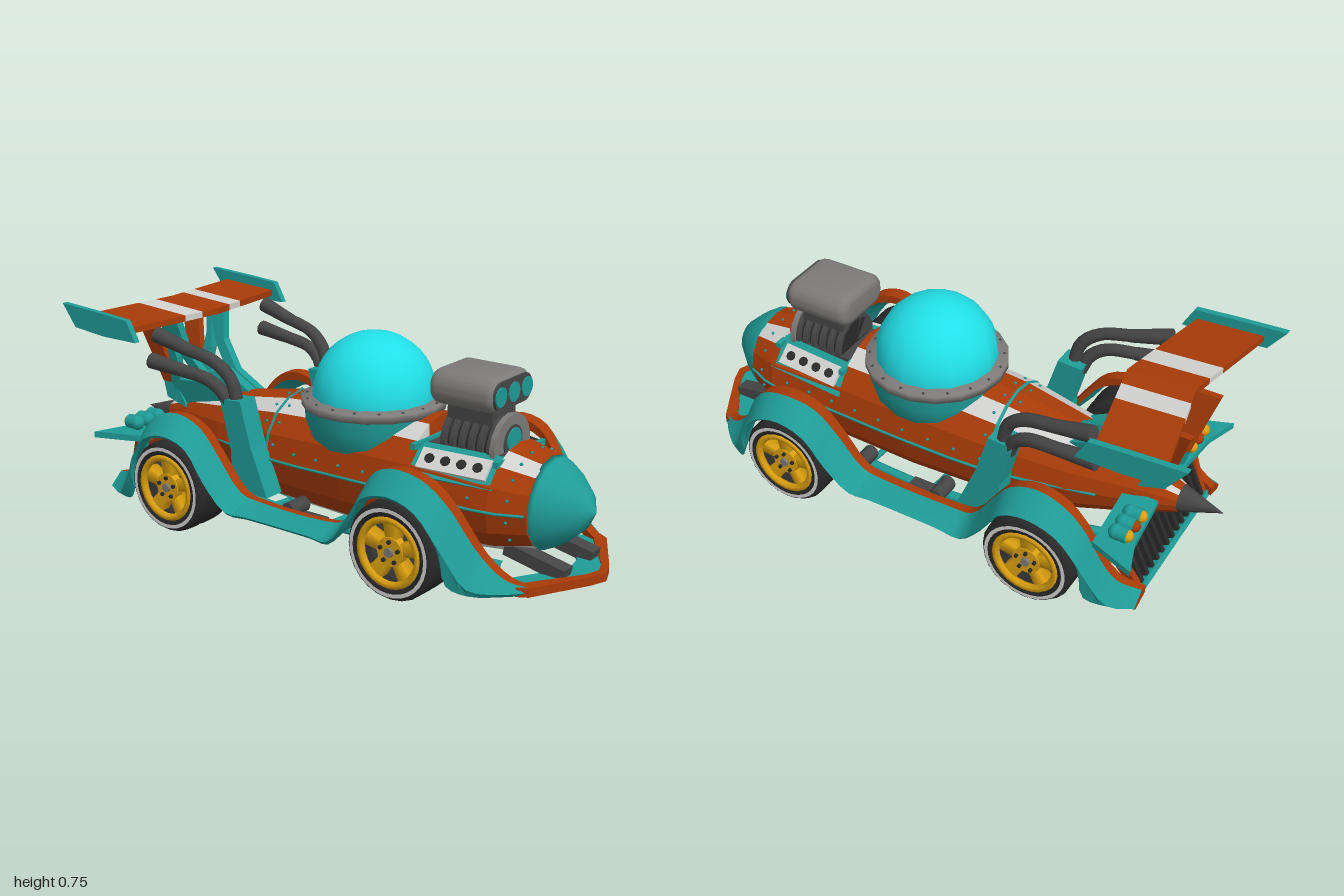
import * as THREE from 'three';
import { toCreasedNormals } from 'three/addons/utils/BufferGeometryUtils.js';

const COLORS = { teal: 0x1f9c97, cyan: 0x22e2ea, rust: 0xa83b08, white: 0xd2d2d0, grey: 0x7c7b79, dark: 0x464647, black: 0x2a2a2a, gold: 0xdba010 };
const M = {};
for (const k in COLORS) { M[k] = new THREE.MeshStandardMaterial({ color: COLORS[k] }); M[k].name = k; }
const V = (x, y, z) => new THREE.Vector3(x, y, z);
const P = (a) => a.map(([x, y]) => new THREE.Vector2(x, y));

export function createModel() {
  const root = new THREE.Group();
  root.name = 'rocketHotRod';
  const add = (name, geo, mat, pos = [0, 0, 0], rot = [0, 0, 0], parent = root) => {
    const m = new THREE.Mesh(geo, mat);
    m.name = name;
    m.position.set(...pos);
    m.rotation.set(...rot);
    parent.add(m);
    return m;
  };
  const box = (name, size, mat, pos, rot, parent) => add(name, new THREE.BoxGeometry(...size), mat, pos, rot, parent);
  const tube = (name, pts, r, mat) =>
    add(name, new THREE.TubeGeometry(new THREE.CatmullRomCurve3(pts.map((p) => V(...p))), 16, r, 8), mat);
  // Outline in (z, y), with an optional hole, thickened along x
  const sidePlate = (name, pts, x, width, mat, hole) => {
    const shape = new THREE.Shape(P(pts));
    if (hole) shape.holes.push(new THREE.Path(P(hole)));
    const g = new THREE.ExtrudeGeometry(shape, { depth: width, bevelEnabled: false });
    return add(name, g.translate(0, 0, -width / 2).rotateY(-Math.PI / 2), mat, [x, 0, 0]);
  };
  // Lean a plate outwards above the tail
  const lean = (mesh, k) => mesh.geometry.applyMatrix4(new THREE.Matrix4().set(1, k, 0, -0.42 * k, 0, 1, 0, 0, 0, 0, 1, 0, 0, 0, 0, 1));
  // Outline in (x, z), thickened downwards from y
  const flatPlate = (name, pts, y, h, mat) => {
    const g = new THREE.ExtrudeGeometry(new THREE.Shape(P(pts)), { depth: h, bevelEnabled: false });
    return add(name, g.rotateX(Math.PI / 2), mat, [0, y, 0]);
  };
  // Closed loops listed towards +z, counter-clockwise from the front; one colour per loop edge
  const loft = (name, loops, mats, crease = 0) => {
    const pos = [], groups = [], used = [...new Set(mats)], n = loops[0].length;
    const tri = (...v) => v.forEach((p) => pos.push(...p));
    used.forEach((mat, gi) => {
      const start = pos.length / 3;
      for (let k = 0; k < loops.length - 1; k++) for (let i = 0; i < n; i++) {
        if (mats[i] !== mat) continue;
        const a = loops[k], b = loops[k + 1], j = (i + 1) % n;
        tri(a[i], a[j], b[j]);
        tri(a[i], b[j], b[i]);
      }
      if (gi === 0) for (let i = 1; i < n - 1; i++) {
        const a = loops[0], b = loops[loops.length - 1];
        tri(a[0], a[i + 1], a[i]);
        tri(b[0], b[i], b[i + 1]);
      }
      groups.push([start, pos.length / 3 - start, gi]);
    });
    const g = new THREE.BufferGeometry();
    g.setAttribute('position', new THREE.Float32BufferAttribute(pos, 3));
    groups.forEach((q) => g.addGroup(...q));
    g.computeVertexNormals();
    return add(name, crease ? toCreasedNormals(g, crease) : g, used);
  };

  // Fuselage: z, half width, centre height, half height
  const table = [[-0.85, 0.05, 0.275, 0.05], [-0.72, 0.1, 0.28, 0.1], [-0.5, 0.16, 0.27, 0.155], [-0.23, 0.207, 0.272, 0.2],
    [0.1, 0.225, 0.28, 0.218], [0.37, 0.217, 0.28, 0.215], [0.68, 0.205, 0.28, 0.18], [0.79, 0.162, 0.28, 0.152]];
  const at = (z) => {
    let i = 0;
    while (i < table.length - 2 && z > table[i + 1][0]) i++;
    const a = table[i], b = table[i + 1], t = (z - a[0]) / (b[0] - a[0]);
    return a.map((v, k) => v + (b[k] - v) * t);
  };
  const degs = [0, 25, 48, 69, 90, 111, 132, 155, 180, 205, 228, 249, 270, 291, 312, 335];
  const stripe = degs.map((d) => ([48, 111, 228, 291].includes(d) ? M.white : M.rust));
  const hullPoint = (z, deg, grow = 0, clip = 9) => {
    const [, rx, cy, ry] = at(z), a = deg * Math.PI / 180;
    return [(rx + grow) * Math.cos(a), Math.min(cy + (ry + grow) * Math.sin(a), clip), z];
  };
  const hullLoop = (z, grow, clip) => degs.map((d) => hullPoint(z, d, grow, clip));
  // Lowered hull section under the engine
  loft('fuselage', [[-0.85], [-0.72], [-0.5], [-0.23], [0.1], [0.37], [0.375, 0.38], [0.665, 0.38], [0.67], [0.79]]
    .map(([z, c]) => hullLoop(z, 0, c)), stripe);
  loft('hullSeam', [hullLoop(-0.235, 0.003), hullLoop(-0.225, 0.003)], degs.map(() => M.teal));
  const rivet = new THREE.SphereGeometry(0.006, 6, 4);
  for (const z of [-0.2, -0.26, 0.73]) for (const d of degs) add('hullRivet', rivet, M.teal, hullPoint(z, d + 10, -0.002));
  for (const d of [10, 170]) for (let z = -0.1; z < 0.7; z += 0.1) add('sideRivet', rivet, M.teal, hullPoint(z, d, -0.002));
  for (const s of [0, 180]) tube('sideSeam', [-0.6, -0.23, 0.1, 0.37, 0.68, 0.785].map((z) => hullPoint(z, s)), 0.005, M.teal);
  const nose = new THREE.LatheGeometry(P([[0, -0.005], [0.156, 0], [0.152, 0.02], [0.12, 0.07], [0.065, 0.13], [0, 0.165]]), 16);
  add('noseCone', nose.rotateX(Math.PI / 2), M.teal, [0, 0.28, 0.785]);
  add('tailCone', new THREE.ConeGeometry(0.056, 0.17, 10).rotateX(-Math.PI / 2), M.dark, [0, 0.275, -0.913]);

  // Cockpit bubble
  const Z0 = 0.09;
  add('canopyDome', new THREE.SphereGeometry(0.213, 16, 10, 0, Math.PI * 2, 0, Math.PI / 2 + 0.1), M.cyan, [0, 0.522, Z0]);
  add('cockpitBowl', new THREE.LatheGeometry(P([[0, 0.3], [0.12, 0.305], [0.195, 0.335], [0.224, 0.385], [0.236, 0.435], [0.24, 0.49]]), 18), M.teal, [0, 0, Z0]);
  add('canopyRing', new THREE.LatheGeometry(P([[0.2, 0.483], [0.25, 0.483], [0.25, 0.51], [0.2, 0.518]]), 18), M.grey, [0, 0, Z0]);
  for (let i = 0; i < 18; i++) {
    const a = i / 18 * Math.PI * 2;
    add('ringRivet', rivet, M.dark, [0.232 * Math.cos(a), 0.511, Z0 + 0.232 * Math.sin(a)]);
  }

  // Engine, blower and scoop
  const disc = (r, h, n = 18) => new THREE.CylinderGeometry(r, r, h, n).rotateX(Math.PI / 2);
  box('engineBlock', [0.2, 0.12, 0.27], M.dark, [0, 0.37, 0.52]);
  add('blowerCore', disc(0.092, 0.2), M.black, [0, 0.435, 0.53]);
  for (let i = 0; i < 6; i++) add('blowerRib', disc(0.106, 0.02), M.dark, [0, 0.435, 0.44 + i * 0.035]);
  add('blowerFace', disc(0.112, 0.02), M.grey, [0, 0.435, 0.63]);
  add('pulleyRim', disc(0.056, 0.024), M.dark, [0, 0.455, 0.632]);
  add('pulley', disc(0.042, 0.03), M.teal, [0, 0.46, 0.634]);
  box('scoopNeck', [0.14, 0.07, 0.17], M.dark, [0, 0.545, 0.52]);
  const rounded = (w, h, r) => {
    const s = new THREE.Shape();
    s.absarc(w - r, h - r, r, 0, Math.PI / 2);
    s.absarc(r - w, h - r, r, Math.PI / 2, Math.PI);
    s.absarc(r - w, r - h, r, Math.PI, Math.PI * 1.5);
    s.absarc(w - r, r - h, r, Math.PI * 1.5, Math.PI * 2);
    return s;
  };
  add('airScoop', toCreasedNormals(new THREE.ExtrudeGeometry(rounded(0.095, 0.03, 0.026), { depth: 0.185, bevelSize: 0.03, bevelThickness: 0.032, bevelSegments: 4, curveSegments: 5 }), 0.7), M.grey, [0, 0.62, 0.42]);
  add('scoopMouth', new THREE.ExtrudeGeometry(rounded(0.113, 0.047, 0.042), { depth: 0.022, bevelEnabled: false, curveSegments: 5 }), M.dark, [0, 0.62, 0.616]);
  for (const x of [-0.08, 0, 0.08]) add('scoopIntake', disc(0.033, 0.01), M.teal, [x, 0.62, 0.637]);
  for (const z of [0.375, 0.668]) box('engineBayRim', [z < 0.5 ? 0.36 : 0.3, 0.02, 0.018], M.teal, [0, z < 0.5 ? 0.43 : 0.42, z]);

  // Fender stations: z, inner x, crest x, outer x, crest height, lower edge
  const arch = (z, c) => 0.165 + Math.sqrt(Math.max(0, 0.18 ** 2 - (z - c) ** 2));
  const stations = [[-0.86, 0.27, 0.3, 0.35, 0.115, 0.06], [-0.78, 0.295, 0.33, 0.385, 0.145, 0.06], [-0.7, 0.315, 0.35, 0.41, 0.27, 0.08],
    [-0.675, 0.32, 0.355, 0.42, 0.32], [-0.6, 0.32, 0.36, 0.432, 0.395], [-0.5, 0.315, 0.355, 0.435, 0.42], [-0.4, 0.31, 0.35, 0.432, 0.385],
    [-0.325, 0.3, 0.34, 0.425, 0.29], [-0.24, 0.285, 0.325, 0.415, 0.175, 0.12], [-0.15, 0.28, 0.315, 0.41, 0.155, 0.12], [0.12, 0.28, 0.315, 0.41, 0.155, 0.12], [0.2, 0.285, 0.32, 0.415, 0.175, 0.12],
    [0.285, 0.3, 0.34, 0.43, 0.3], [0.36, 0.315, 0.36, 0.443, 0.395], [0.46, 0.325, 0.375, 0.445, 0.425], [0.56, 0.32, 0.37, 0.442, 0.4],
    [0.635, 0.3, 0.345, 0.43, 0.32], [0.66, 0.29, 0.335, 0.42, 0.28, 0.1], [0.72, 0.265, 0.305, 0.385, 0.18, 0.07], [0.8, 0.24, 0.28, 0.32, 0.11, 0.066], [0.865, 0.215, 0.245, 0.25, 0.092, 0.065]];
  for (const s of [1, -1]) {
    const corners = stations.map(([z, xi, xm, xo, h, low = arch(z, z > 0 ? 0.46 : -0.5)]) =>
      [[xi, h - 0.004], [xi, Math.max(h - 0.035, 0.062)], [xo - 0.012, low], [xo, Math.max(low + 0.012, h - 0.085)], [xm, h]].map(([x, y]) => V(x * s, y, z)));
    // Smooth curve through each corner of the section
    let rails = corners[0].map((_, i) => new THREE.CatmullRomCurve3(corners.map((c) => c[i])).getPoints(60));
    if (s < 0) rails = [rails[0], ...rails.slice(1).reverse()];
    loft('fender', rails[0].map((_, k) => rails.map((r) => r[k].toArray())), [M.rust, M.teal, M.teal, M.teal, M.rust], 0.45);
  }
  // Front splitter
  flatPlate('splitter', [[-0.24, 0.85], [-0.06, 0.955], [0, 0.975], [0.06, 0.955], [0.24, 0.85], [0.25, 0.78], [0.22, 0.76], [0.05, 0.865], [0, 0.875], [-0.05, 0.865], [-0.22, 0.76], [-0.25, 0.78]], 0.086, 0.02, M.teal);
  flatPlate('splitterEdge', [[-0.275, 0.83], [-0.255, 0.865], [-0.06, 0.975], [0, 0.998], [0.06, 0.975], [0.255, 0.865], [0.275, 0.83], [0.225, 0.83], [0.055, 0.95], [0, 0.97], [-0.055, 0.95], [-0.225, 0.83]], 0.093, 0.03, M.rust);

  // Wheel, outer face towards +x
  const ax = -Math.PI / 2;
  const tyre = new THREE.LatheGeometry(P([[0.108, -0.08], [0.145, -0.085], [0.163, -0.07], [0.165, -0.015], [0.153, -0.005], [0.153, 0.008], [0.165, 0.018], [0.164, 0.066], [0.152, 0.085], [0.112, 0.083], [0.108, 0.03]]), 24).rotateZ(ax);
  const cyl = (r, h, n = 20) => new THREE.CylinderGeometry(r, r, h, n).rotateZ(ax);
  const wheel = (s, z) => {
    const g = new THREE.Group();
    g.name = 'wheel';
    g.position.set(s * 0.347, 0.166, z);
    g.rotation.y = s > 0 ? 0 : Math.PI;
    root.add(g);
    const part = (name, geo, mat, pos, rot) => add(name, geo, mat, pos, rot, g);
    part('tyre', tyre, M.black);
    part('whitewall', new THREE.RingGeometry(0.135, 0.148, 32).rotateY(Math.PI / 2), M.white, [0.087, 0, 0]);
    part('rimBarrel', cyl(0.112, 0.1), M.dark, [-0.02, 0, 0]);
    part('innerRim', cyl(0.1, 0.01), M.gold, [-0.074, 0, 0]);
    part('rimLip', new THREE.TorusGeometry(0.11, 0.014, 6, 24).rotateY(Math.PI / 2), M.gold, [0.077, 0, 0]);
    for (let i = 0; i < 5; i++) {
      const a = i / 5 * Math.PI * 2;
      const spoke = new THREE.CylinderGeometry(0.038, 0.026, 0.085, 4, 1, false, Math.PI / 4).translate(0, 0.065, 0);
      part('spoke', spoke, M.gold, [0.05, 0, 0], [a, 0, 0]);
      part('wheelNut', cyl(0.007, 0.012, 6), M.black, [0.078, 0.035 * Math.cos(a), 0.035 * Math.sin(a)]);
    }
    part('hub', cyl(0.05, 0.03, 12), M.gold, [0.06, 0, 0]);
    part('hubCap', cyl(0.016, 0.02, 8), M.grey, [0.075, 0, 0]);
  };

  for (const s of [1, -1]) {
    for (const z of [0.46, -0.5]) {
      wheel(s, z);
      add('axle', cyl(0.022, 0.2, 10), M.dark, [s * 0.2, 0.18, z]);
    }
    // Valve cover beside the engine
    const v = new THREE.Group();
    v.name = 'valveCover';
    v.position.set(s * 0.148, 0.385, 0.52);
    v.rotation.set(0, s * -0.08, s * -0.75);
    root.add(v);
    box('coverFrame', [0.125, 0.02, 0.31], M.teal, [0, 0, 0], [0, 0, 0], v);
    box('coverPlate', [0.075, 0.03, 0.25], M.white, [0, 0.006, 0], [0, 0, 0], v);
    for (let i = 0; i < 4; i++) add('coverPort', new THREE.CylinderGeometry(0.017, 0.017, 0.008, 10), M.black, [0, 0.022, -0.087 + i * 0.058], [0, 0, 0], v);
    // Exhausts rising from their housing
    sidePlate('exhaustHousing', [[-0.16, 0.16], [-0.32, 0.16], [-0.32, 0.3], [-0.365, 0.48], [-0.275, 0.487], [-0.23, 0.33]], s * 0.243, 0.08, M.teal);
    const pipes = [[[0.25, 0.45, -0.31], [0.257, 0.55, -0.335], [0.268, 0.605, -0.4], [0.28, 0.635, -0.52], [0.293, 0.668, -0.645]],
      [[0.255, 0.44, -0.34], [0.268, 0.5, -0.365], [0.28, 0.54, -0.42], [0.292, 0.558, -0.54], [0.301, 0.572, -0.665]]];
    for (const p of pipes) {
      const q = p.map(([x, y, z]) => V(x * s, y, z));
      tube('exhaustPipe', q, 0.023, M.dark);
      const tip = add('exhaustTip', new THREE.CylinderGeometry(0.029, 0.023, 0.15, 10), M.dark, q[4].clone().lerp(q[3], 0.55).toArray());
      tip.quaternion.setFromUnitVectors(V(0, 1, 0), q[4].clone().sub(q[3]).normalize());
    }
    // Underbody rails and mounts
    tube('floorRail', [[s * 0.17, 0.1, 0.72], [s * 0.21, 0.1, 0.3], [s * 0.22, 0.1, 0], [s * 0.19, 0.1, -0.3], [s * 0.1, 0.12, -0.75]], 0.018, M.teal);
    box('sidePod', [0.05, 0.06, 0.13], M.dark, [s * 0.235, 0.09, -0.01]);
    for (const z of [0.25, -0.07]) add('sideBolt', cyl(0.028, 0.09, 10), M.dark, [s * 0.235, 0.135, z]);
    box('splitterStrut', [0.055, 0.045, 0.22], M.dark, [s * 0.093, 0.115, 0.8], [0.2, 0, 0]);
    box('suspensionArm', [0.04, 0.06, 0.1], M.dark, [s * 0.21, 0.14, 0.52]);
    // Tail fins and lamps
    flatPlate('tailFin', [[s * 0.08, -0.68], [s * 0.36, -0.7], [s * 0.42, -0.86], [s * 0.3, -0.82], [s * 0.08, -0.8]], 0.3, 0.022, M.teal);
    [M.gold, M.rust, M.gold].forEach((mat, i) => {
      const x = s * (0.2 + i * 0.052);
      add('lampHousing', new THREE.SphereGeometry(0.027, 10, 8), M.teal, [x, 0.325, -0.755]);
      add('lampBarrel', disc(0.026, 0.04, 10), M.teal, [x, 0.325, -0.775]);
      add('lampLens', new THREE.SphereGeometry(0.022, 10, 6), mat, [x, 0.325, -0.793]);
    });
    // Wing pillars, rust fins and end plates
    lean(sidePlate('wingPillar', [[-0.47, 0.41], [-0.6, 0.47], [-0.68, 0.57], [-0.7, 0.7], [-0.79, 0.705], [-0.77, 0.58], [-0.79, 0.42], [-0.74, 0.33], [-0.6, 0.36]], s * 0.07, 0.03, M.teal,
      [[-0.64, 0.45], [-0.745, 0.44], [-0.735, 0.53], [-0.75, 0.63], [-0.715, 0.55]]), s * 0.22);
    lean(sidePlate('tailPanel', [[-0.77, 0.42], [-0.835, 0.42], [-0.9, 0.635], [-0.82, 0.635]], s * 0.07, 0.024, M.rust), s * 0.22);
    sidePlate('tailPanelStay', [[-0.72, 0.33], [-0.82, 0.36], [-0.835, 0.42], [-0.77, 0.42]], s * 0.07, 0.02, M.teal);
    sidePlate('wingEndPlate', [[-0.64, 0.662], [-0.68, 0.735], [-0.82, 0.745], [-1, 0.755], [-0.94, 0.675], [-0.8, 0.662]], s * 0.397, 0.022, M.teal);
  }
  for (const z of [0.27, 0, -0.27]) tube('floorBrace', [[-0.29, 0.13, z], [-0.2, 0.075, z], [0, 0.053, z], [0.2, 0.075, z], [0.29, 0.13, z]], 0.011, M.teal);
  sidePlate('dorsalFin', [[-0.45, 0.42], [-0.58, 0.49], [-0.66, 0.36]], 0, 0.04, M.teal);

  // Rear wing: swept, slightly cambered strips
  const cuts = [-0.39, -0.148, -0.073, 0, 0.073, 0.148, 0.39];
  [M.rust, M.white, M.rust, M.rust, M.white, M.rust].forEach((mat, i) => {
    const g = new THREE.BoxGeometry(cuts[i + 1] - cuts[i], 0.022, 0.235).translate((cuts[i] + cuts[i + 1]) / 2, 0, 0);
    const p = g.attributes.position;
    for (let k = 0; k < p.count; k++) {
      const x = Math.abs(p.getX(k)), z = p.getZ(k);
      p.setXYZ(k, p.getX(k), p.getY(k) + 0.711 - 0.03 * x - 0.06 * z, z - 0.735 - 0.19 * x);
    }
    g.computeVertexNormals();
    add('wingStrip', g, mat);
  });

  // Rear grille between the fender tails
  const grille = new THREE.Group();
  grille.name = 'rearGrille';
  grille.position.set(0, 0.065, -0.83);
  grille.rotation.x = 0.45;
  root.add(grille);
  const frame = new THREE.Shape(P([[-0.275, 0.02], [-0.25, 0.02], [-0.29, 0.195], [0.29, 0.195], [0.25, 0.02], [0.275, 0.02], [0.32, 0.22], [-0.32, 0.22]]));
  add('grilleFrame', new THREE.ExtrudeGeometry(frame, { depth: 0.035, bevelEnabled: false }), M.rust, [0, 0, -0.02], [0, 0, 0], grille);
  box('grilleSill', [0.55, 0.022, 0.045], M.teal, [0, 0.011, -0.005], [0, 0, 0], grille);
  box('grilleBack', [0.54, 0.18, 0.01], M.black, [0, 0.11, 0.01], [0, 0, 0], grille);
  for (let i = 0; i < 13; i++) box('grilleSlat', [0.016, 0.175, 0.03], M.black, [-0.246 + i * 0.041, 0.11, -0.008], [0, 0, 0], grille);
  return root;
}
